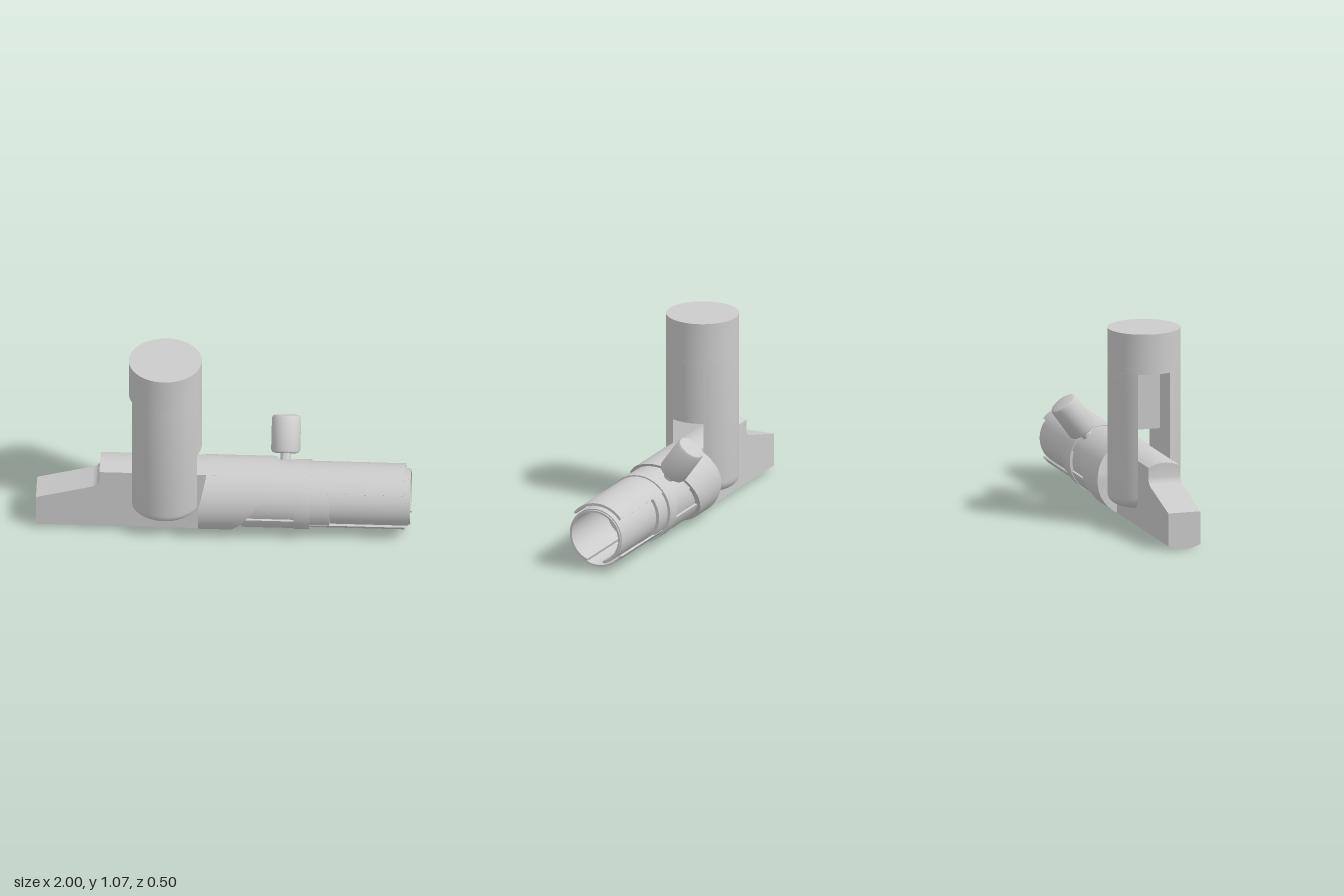
import * as THREE from 'three';
import { toCreasedNormals } from 'three/addons/utils/BufferGeometryUtils.js';

const AXIS_Y = 0.2, AXIS_Z = 0.055, R = 0.2, HALF = 0.09;
const deg = Math.PI / 180;
const material = new THREE.MeshStandardMaterial({ color: 0xcccccc });

function add(parent, name, geometry) {
  const mesh = new THREE.Mesh(toCreasedNormals(geometry, 0.6), material);
  mesh.name = name;
  parent.add(mesh);
  return mesh;
}

// Closed solid through rings of equal point count, capped by fans
function loft(rings) {
  const tris = [], n = rings[0].length;
  const centre = (ring) => ring.reduce((s, p) => s.add(p), new THREE.Vector3()).divideScalar(n);
  const first = rings[0], last = rings[rings.length - 1];
  const c0 = centre(first), c1 = centre(last);
  for (let i = 0; i < n; i++) {
    const j = (i + 1) % n;
    tris.push([c0, first[j], first[i]], [c1, last[i], last[j]]);
    for (let k = 0; k + 1 < rings.length; k++) {
      const a = rings[k], b = rings[k + 1];
      tris.push([a[i], a[j], b[j]], [a[i], b[j], b[i]]);
    }
  }
  // Face outward whichever way the rings run
  const cross = new THREE.Vector3();
  const volume = tris.reduce((s, [a, b, c]) => s + a.dot(cross.crossVectors(b, c)), 0);
  const points = tris.flatMap(([a, b, c]) => (volume < 0 ? [a, c, b] : [a, b, c]));
  return new THREE.BufferGeometry().setFromPoints(points);
}

// Curved wall around the long axis; angle 90 degrees is up
function arcShell(x0, x1, rIn, rOut, a0, a1) {
  const shape = new THREE.Shape();
  shape.absarc(0, 0, rOut, a0 * deg, a1 * deg, false);
  shape.absarc(0, 0, rIn, a1 * deg, a0 * deg, true);
  return new THREE.ExtrudeGeometry(shape, { depth: x1 - x0, bevelEnabled: false, curveSegments: 28 })
    .rotateY(Math.PI / 2).translate(x0, AXIS_Y, 0);
}

function rod(x0, x1, r) {
  return new THREE.CylinderGeometry(r, r, x1 - x0, 36)
    .rotateZ(Math.PI / 2).translate((x0 + x1) / 2, AXIS_Y, 0);
}

// Slab: a round bar sliced flat on both sides and stepped on top
function slab() {
  const profile = [[-1, 0.2], [-0.7, 0.28], [-0.682, 0.288], [-0.667, 0.303], [-0.66, 0.325], [-0.66, 0.4], [0, 0.4]];
  const N = 10;
  return loft(profile.map(([x, top]) => {
    const ring = [];
    for (let i = 0; i <= N; i++) {
      const z = -HALF + (2 * HALF * i) / N;
      ring.push(new THREE.Vector3(x, AXIS_Y - Math.sqrt(R * R - z * z), z));
    }
    for (let i = N; i >= 0; i--) {
      const z = -HALF + (2 * HALF * i) / N;
      ring.push(new THREE.Vector3(x, Math.min(top, AXIS_Y + Math.sqrt(R * R - z * z)), z));
    }
    return ring;
  }));
}

// Sleeve: notched at the back, cut on a slant at the front
function sleeve() {
  const start = [], end = [], n = 48;
  for (let i = 0; i < n; i++) {
    const a = (i / n) * Math.PI * 2;
    const y = AXIS_Y + R * Math.sin(a), z = R * Math.cos(a);
    start.push(new THREE.Vector3(-0.13 + Math.max(0, y - 0.23) * 0.27, y, z));
    end.push(new THREE.Vector3(0.005 + y * 0.73, y, z));
  }
  return loft([start, end]);
}

// One side of the column beside the slot, rounded at its foot
function cheek(side) {
  const levels = [];
  for (let i = 0; i <= 6; i++) {
    const t = (i / 6) * Math.PI / 2;
    levels.push([0.11 + 0.06 * (1 - Math.cos(t)), 0.135 + 0.06 * Math.sin(t)]);
  }
  levels.push([0.85, 0.195]);
  return loft(levels.map(([y, r]) => {
    const a0 = Math.asin(HALF / r), ring = [];
    for (let i = 0; i <= 20; i++) {
      const a = a0 + (Math.PI - 2 * a0) * i / 20;
      ring.push(new THREE.Vector3(r * Math.cos(a), y, side * r * Math.sin(a)));
    }
    return ring;
  }));
}

// Wall closing the upper slot on one side of the column
function slotWall() {
  const a0 = Math.asin(HALF / 0.195);
  return loft([0.51, 0.85].map((y) => {
    const ring = [new THREE.Vector3(0, y, HALF), new THREE.Vector3(0, y, -HALF)];
    for (let i = 0; i <= 10; i++) {
      const a = -a0 + (2 * a0 * i) / 10;
      ring.push(new THREE.Vector3(0.195 * Math.cos(a), y, 0.195 * Math.sin(a)));
    }
    return ring;
  }));
}

export function createModel() {
  const model = new THREE.Group();
  model.name = 'model';
  const body = new THREE.Group();
  body.name = 'body';
  body.position.z = AXIS_Z;
  model.add(body);

  add(body, 'slab', slab());
  add(body, 'sleeve', sleeve());

  // Slotted column
  const column = new THREE.Group();
  column.name = 'column';
  column.position.x = -0.312;
  body.add(column);
  add(column, 'columnTop', new THREE.CylinderGeometry(0.195, 0.195, 0.22, 48).translate(0, 0.96, 0));
  add(column, 'slotWall', slotWall());
  for (const side of [1, -1]) add(column, 'columnCheek', cheek(side));

  // Core with a window on each side, and its collar
  add(body, 'core', rod(0.02, 0.57, 0.172));
  add(body, 'coreUpperShell', arcShell(0.1, 0.38, 0.165, 0.183, 19, 161));
  add(body, 'coreLowerShell', arcShell(0.1, 0.38, 0.165, 0.183, 197, 343));
  add(body, 'collar', rod(0.38, 0.465, 0.187));

  // Barrel: split outer shell around a slit inner tube
  add(body, 'barrelUpperShell', arcShell(0.46, 0.97, 0.165, 0.179, 38, 142));
  add(body, 'barrelLowerShell', arcShell(0.46, 0.97, 0.165, 0.174, 215, 325));
  add(body, 'innerTube', arcShell(0.5, 0.99, 0.137, 0.154, -71, 251));
  add(body, 'innerTubeLip', arcShell(0.985, 1, 0.137, 0.148, -71, 251));

  // Knob on a stem, leaning to the back
  const handle = new THREE.Group();
  handle.name = 'handle';
  handle.position.set(0.325, AXIS_Y, 0);
  handle.quaternion.setFromUnitVectors(
    new THREE.Vector3(0, 1, 0), new THREE.Vector3(0, 0.81, -0.586).normalize());
  body.add(handle);
  add(handle, 'stem', new THREE.CylinderGeometry(0.028, 0.028, 0.12, 20).translate(0, 0.18, 0));
  const profile = [[0, 0.217], [0.06, 0.217], [0.072, 0.222], [0.078, 0.234],
    [0.078, 0.404], [0.072, 0.416], [0.06, 0.421], [0, 0.421]];
  add(handle, 'knob', new THREE.LatheGeometry(profile.map(([x, y]) => new THREE.Vector2(x, y)), 32));

  return model;
}
